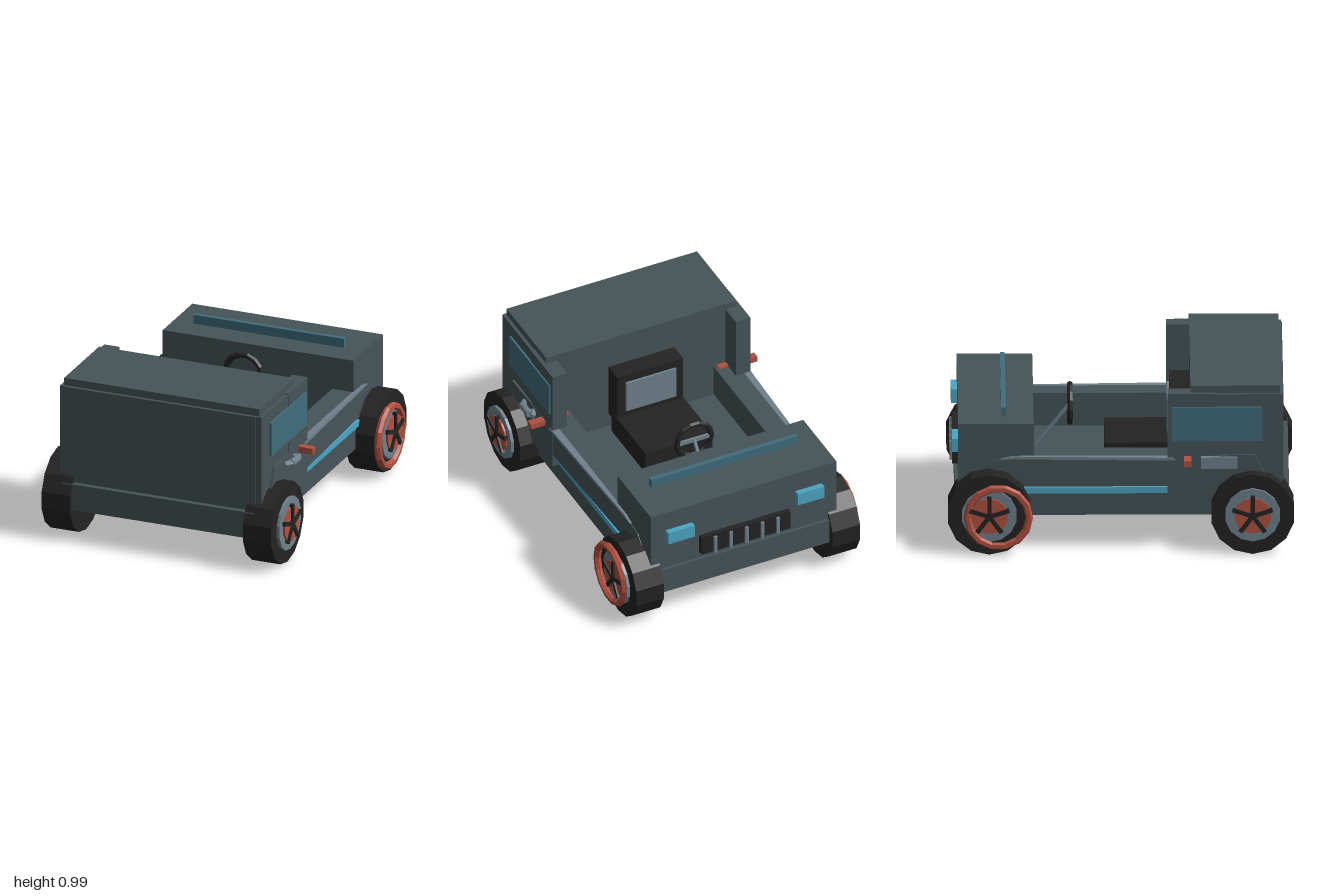
import * as THREE from 'three';

const mat = (name, color) => {
  const m = new THREE.MeshStandardMaterial({ color, flatShading: true });
  m.name = name;
  return m;
};

export function createModel() {
  const body = mat('slate body', 0x465458);
  const black = mat('black rubber', 0x232323);
  const grey = mat('blue grey metal', 0x6f818c);
  const red = mat('rust red', 0xb25040);
  const glass = mat('dark glass', 0x406d7e);
  const cyan = mat('light blue', 0x4aa6c4);

  const car = new THREE.Group();
  car.name = 'vehicle';

  const add = (name, geo, material, parent = car) => {
    const m = new THREE.Mesh(geo, material);
    m.name = name;
    parent.add(m);
    return m;
  };
  // Box given by its minimum and maximum on each axis
  const box = (name, material, x0, x1, y0, y1, z0, z1, parent = car) => {
    const m = add(name, new THREE.BoxGeometry(x1 - x0, y1 - y0, z1 - z0), material, parent);
    m.position.set((x0 + x1) / 2, (y0 + y1) / 2, (z0 + z1) / 2);
    return m;
  };
  // Box on one side, measured outwards from the middle
  const sideBox = (name, material, s, x0, x1, ...rest) =>
    box(name, material, Math.min(s * x0, s * x1), Math.max(s * x0, s * x1), ...rest);
  // Profile of [z, y] points extruded sideways; the outer face follows the given rule
  const sidePanel = (name, material, s, points, inner, outerAt) => {
    const shape = new THREE.Shape(points.map(([z, y]) => new THREE.Vector2(-z, y)));
    const geo = new THREE.ExtrudeGeometry(shape, { depth: 1, bevelEnabled: false });
    geo.rotateY(Math.PI / 2);
    if (s < 0) geo.translate(-1, 0, 0);
    const p = geo.attributes.position;
    for (let i = 0; i < p.count; i++) {
      p.setX(i, s * (Math.abs(p.getX(i)) > 0.5 ? outerAt(p.getZ(i)) : inner));
    }
    geo.computeVertexNormals();
    return add(name, geo, material);
  };

  // Main volumes
  box('chassis', body, -0.6, 0.6, 0.2, 0.36, -0.955, 0.968);
  box('cabBlock', body, -0.595, 0.595, 0.36, 0.945, 0.4, 0.935);
  box('roof', body, -0.61, 0.61, 0.935, 0.99, 0.4, 0.915);
  box('hood', body, -0.595, 0.595, 0.36, 0.755, -0.935, -0.5);
  box('hoodBar', glass, -0.47, 0.47, 0.75, 0.81, -0.687, -0.66);

  // Parts repeated on both sides
  const taper = (z) => 0.632 - (0.3 - z) * 0.03;
  for (const s of [1, -1]) {
    sideBox('cabSide', body, s, 0.58, 0.63, 0.36, 0.945, 0.4, 0.93);
    sideBox('cabPillar', body, s, 0.54, 0.634, 0.3, 0.95, 0.268, 0.545);
    sideBox('sideWindow', glass, s, 0.625, 0.643, 0.663, 0.87, 0.295, 0.815);
    sideBox('sideWall', body, s, 0.463, 0.595, 0.36, 0.56, -0.5, 0.4);
    sidePanel('fender', body, s,
      [[0.84, 0.44], [0.77, 0.58], [0.55, 0.575], [0.3, 0.55], [-0.65, 0.54], [-0.77, 0.525],
        [-0.83, 0.46], [-0.8, 0.385], [0.27, 0.385], [0.27, 0.3], [0.53, 0.3], [0.6, 0.42]], 0.57, taper);
    sidePanel('sideRail', grey, s,
      [[0.32, 0.543], [0.3, 0.56], [-0.62, 0.56], [-0.69, 0.543]], 0.59, (z) => taper(z) + 0.006);
    sideBox('sideStrip', cyan, s, 0.59, 0.612, 0.335, 0.372, -0.58, 0.27);
    sideBox('sideMarker', red, s, 0.48, 0.725, 0.535, 0.57, 0.362, 0.405);
    sideBox('headlight', cyan, s, 0.33, 0.5, 0.55, 0.63, -0.97, -0.93);
  }

  // Door handle on one side, latch plate on the other
  const handle = add('doorHandle', new THREE.CylinderGeometry(0.022, 0.022, 0.1, 8), grey);
  handle.rotation.x = Math.PI / 2;
  handle.position.set(0.672, 0.54, 0.54);
  for (const d of [-1, 1]) {
    const end = add('handleEnd', new THREE.CylinderGeometry(0.015, 0.022, 0.05, 8), grey);
    end.rotation.set(d * Math.PI / 2, 0, d * 0.6);
    end.position.set(0.655, 0.54, 0.54 + d * 0.058);
  }
  box('latchPlate', grey, -0.665, -0.62, 0.5, 0.57, 0.46, 0.67);

  // Grille with five slats
  box('grille', black, -0.285, 0.285, 0.4, 0.52, -0.968, -0.93);
  for (let i = -2; i <= 2; i++) {
    box('grilleSlat', grey, i * 0.1 - 0.01, i * 0.1 + 0.01, 0.4, 0.51, -0.982, -0.96);
  }

  // Seat
  box('seatCushion', black, -0.215, 0.215, 0.36, 0.5, -0.09, 0.35);
  box('seatBack', black, -0.21, 0.21, 0.45, 0.79, 0.283, 0.398);
  box('seatBackPanel', grey, -0.16, 0.16, 0.54, 0.74, 0.268, 0.29);

  // Steering wheel and column
  const steering = new THREE.Group();
  steering.name = 'steering';
  steering.position.set(0, 0.667, -0.288);
  car.add(steering);
  add('steeringRim', new THREE.TorusGeometry(0.11, 0.018, 6, 14), black, steering);
  box('steeringSpoke', grey, -0.1, 0.1, -0.012, 0.012, -0.008, 0.008, steering);
  const column = add('steeringColumn', new THREE.CylinderGeometry(0.012, 0.012, 0.33, 8), grey, steering);
  column.position.set(0, -0.128, -0.1);
  column.rotation.x = Math.atan2(0.2, 0.256);

  // Wheels: disc along x from x0 to x1
  const disc = (name, material, r, s, x0, x1, sides, parent) => {
    const geo = new THREE.CylinderGeometry(r, r, x1 - x0, sides, 1, false, Math.PI / 2);
    geo.rotateZ(Math.PI / 2);
    add(name, geo, material, parent).position.x = s * (x0 + x1) / 2;
  };
  for (const s of [1, -1]) {
    for (const z of [0.757, -0.757]) {
      const wheel = new THREE.Group();
      wheel.name = z > 0 ? 'frontWheel' : 'rearWheel';
      wheel.position.set(0, 0.243, z);
      car.add(wheel);
      disc('tyre', black, 0.243, s, 0.54, 0.717, 14, wheel);
      disc('rim', grey, 0.16, s, 0.71, 0.735, 14, wheel);
      disc('hub', red, 0.107, s, 0.72, 0.746, 14, wheel);
      for (let i = 0; i < 5; i++) {
        const geo = new THREE.BoxGeometry(0.025, 0.12, 0.024);
        geo.translate(s * 0.745, 0.06, 0);
        add('spoke', geo, black, wheel).rotation.x = i * Math.PI * 2 / 5;
      }
    }
    // Loose ring against the rear wheel
    const ring = add('wheelRing', new THREE.TorusGeometry(0.178, 0.022, 6, 14), red);
    ring.rotation.y = Math.PI / 2;
    ring.position.set(s * 0.738, 0.235, -0.705);
  }
  return car;
}
